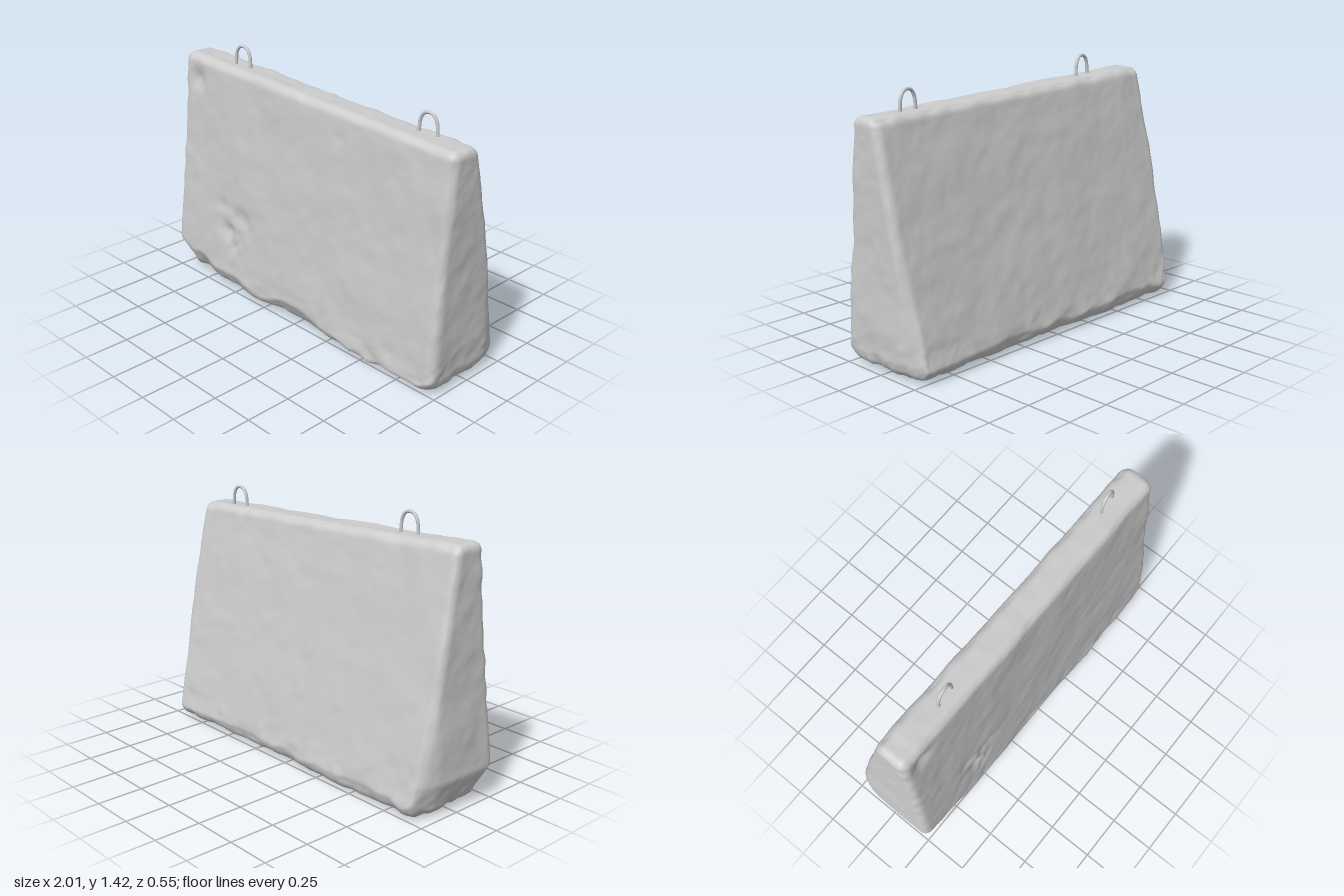
import * as THREE from 'three';
import { mergeVertices } from 'three/addons/utils/BufferGeometryUtils.js';

const { lerp, smoothstep, clamp } = THREE.MathUtils;

// Seeded smooth value noise in the range -1..1
const hash = (x, y, z) => {
  let h = Math.imul(x, 374761393) ^ Math.imul(y, 668265263) ^ Math.imul(z, 1274126177);
  h = Math.imul(h ^ (h >>> 13), 1103515245);
  return ((h ^ (h >>> 16)) >>> 0) / 2147483648 - 1;
};
function noise(x, y, z) {
  const c = [x, y, z].map(Math.floor);
  const [u, v, w] = [x - c[0], y - c[1], z - c[2]].map(t => t * t * (3 - 2 * t));
  const row = (j, k) => lerp(hash(c[0], c[1] + j, c[2] + k), hash(c[0] + 1, c[1] + j, c[2] + k), u);
  return lerp(lerp(row(0, 0), row(1, 0), v), lerp(row(0, 1), row(1, 1), v), w);
}

// Height of the worn strip along the lower front edge: [x, height]
const wear = [[-1, 0.17], [-0.85, 0.14], [-0.6, 0.1], [-0.3, 0.06], [0, 0.11],
  [0.25, 0.06], [0.6, 0.035], [1, 0.05]];
function wearHeight(x) {
  for (let i = 1; i < wear.length; i++) {
    const [a, h0] = wear[i - 1], [b, h1] = wear[i];
    if (x <= b) return lerp(h0, h1, smoothstep(x, a, b));
  }
  return 0.05;
}

// Dents in the front face: x, y, radius, depth
const dents = [[-0.88, 1.17, 0.055, 0.022], [-0.55, 0.36, 0.05, 0.016], [-0.44, 0.47, 0.05, 0.014],
  [-0.5, 0.28, 0.04, 0.01], [0.28, 1.16, 0.03, 0.006], [-0.62, 0.5, 0.04, 0.008]];

function createBlockGeometry() {
  const H = 1.3, R = 0.045;
  const g = new THREE.BoxGeometry(2, 2, 2, 110, 80, 32);
  g.deleteAttribute('uv');
  g.deleteAttribute('normal');
  const pos = g.attributes.position;
  const p = new THREE.Vector3(), core = new THREE.Vector3(), n = new THREE.Vector3();
  const spread = s => 0.35 * s + 0.65 * Math.sin(s * Math.PI / 2); // denser near edges

  for (let i = 0; i < pos.count; i++) {
    // Tapered box, narrower at the top
    p.fromBufferAttribute(pos, i);
    const t = (spread(p.y) + 1) / 2;
    const front = lerp(0.275, 0.172, t), back = lerp(-0.282, -0.004, t);
    const half = (front - back) / 2, mid = (front + back) / 2;
    p.set(spread(p.x), t * H, spread(p.z) * half);

    // Round the edges
    core.set(clamp(p.x, R - 1, 1 - R), clamp(p.y, R, H - R), clamp(p.z, R - half, half - R));
    n.subVectors(p, core).normalize();
    p.copy(core).addScaledVector(n, R);
    p.z += mid;

    // Uneven cast surface, rougher along edges and near the ground
    const low = 1 - smoothstep(p.y, 0.03, 0.25);
    const edge = 1 - Math.max(Math.abs(n.x), Math.abs(n.y), Math.abs(n.z));
    const d = 0.005 * noise(p.x * 5 + 7, p.y * 5, p.z * 5)
      + (0.0025 + 0.005 * low + 0.012 * edge) * noise(p.x * 14, p.y * 14 + 3, p.z * 14)
      + (0.001 + 0.002 * low) * noise(p.x * 32, p.y * 32, p.z * 32 + 5);
    p.addScaledVector(n, d);

    // Chips and dents in the front
    if (n.z > 0.4) for (const [x, y, r, depth] of dents)
      p.z -= depth * Math.exp(-((p.x - x) ** 2 + (p.y - y) ** 2) / (r * r));
    if (n.z > 0.6) {
      const chip = Math.exp(-((p.x + 0.5) ** 2 + (p.y - 0.38) ** 2) / 0.018);
      p.z += 0.012 * chip * noise(p.x * 22, p.y * 22, 4);
    }

    // Worn lower edges
    const worn = Math.max(0, wearHeight(p.x) + 0.02 * noise(p.x * 9, 2, 1) - p.y);
    p.z -= 0.6 * worn * smoothstep(p.z, 0, 0.22);
    p.z += 0.5 * Math.max(0, 0.07 + 0.02 * noise(p.x * 8, 5, 9) - p.y) * (1 - smoothstep(p.z, -0.24, -0.05));
    p.x += 0.35 * Math.max(0, 0.17 - p.y) * (1 - smoothstep(p.x, -1, -0.8));
    p.x -= 0.2 * Math.max(0, 0.08 - p.y) * smoothstep(p.x, 0.8, 1);

    // Clipped back corners
    const corner = Math.max(0, Math.abs(p.x) - 0.9) * (1 - smoothstep(p.z, -0.25, -0.12));
    p.x -= Math.sign(p.x) * corner * 0.35;

    // Leaning ends and sloping top
    const k = p.y / H;
    p.x += lerp(-0.012, p.x < 0 ? 0.045 : -0.005, k) * smoothstep(Math.abs(p.x), 0, 1);
    p.y = 0.01 + p.y * (1.275 - 0.037 * p.x) / H;
    pos.setXYZ(i, p.x, p.y, p.z);
  }
  const merged = mergeVertices(g, 1e-5);
  merged.computeVertexNormals();
  return merged;
}

// Bent steel bar with both legs set in the concrete
function createLoopGeometry() {
  const pts = [[-0.056, -0.06], [-0.053, 0.01], [-0.046, 0.065], [-0.026, 0.096], [0, 0.104],
    [0.026, 0.096], [0.046, 0.065], [0.053, 0.01], [0.056, -0.06]];
  const curve = new THREE.CatmullRomCurve3(pts.map(([x, y]) => new THREE.Vector3(x, y, 0)));
  return new THREE.TubeGeometry(curve, 40, 0.009, 10);
}

export function createModel() {
  const group = new THREE.Group();
  group.name = 'concreteBarrier';
  const material = new THREE.MeshStandardMaterial({ color: 0xcccccc });

  const block = new THREE.Mesh(createBlockGeometry(), material);
  block.name = 'concreteBlock';
  group.add(block);

  // Lifting loops on the top face
  const loopGeometry = createLoopGeometry();
  for (const [name, x, y, z] of [['rightLiftingLoop', -0.557, 1.308, 0.089], ['leftLiftingLoop', 0.737, 1.257, 0.06]]) {
    const loop = new THREE.Mesh(loopGeometry, material);
    loop.name = name;
    loop.position.set(x, y, z);
    loop.rotation.y = 0.1;
    group.add(loop);
  }
  return group;
}
